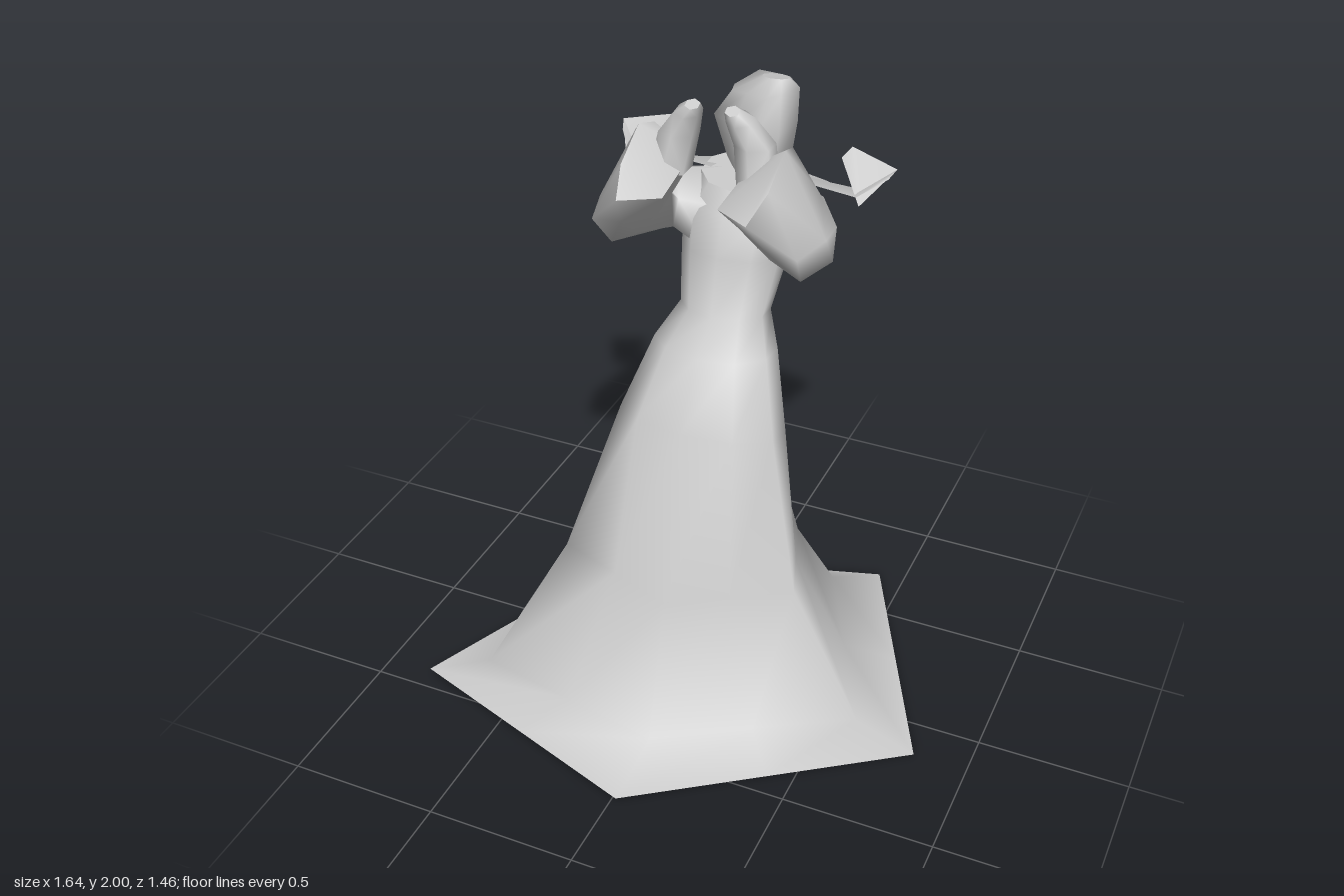
import * as THREE from 'three';

const material = new THREE.MeshStandardMaterial({ color: 0xcccccc, side: THREE.DoubleSide });

// Smooth skin over rows of [x, y, z] points; rows are rings unless closed is false.
function loft(name, rows, { capStart = false, capEnd = false, closed = true } = {}) {
  const n = rows[0].length, pos = rows.flat(2), index = [];
  for (let i = 0; i < rows.length - 1; i++)
    for (let j = 0; j < (closed ? n : n - 1); j++) {
      const a = i * n + j, b = i * n + (j + 1) % n;
      index.push(a, b, b + n, a, b + n, a + n);
    }
  const cap = (ring, flip) => {
    const start = pos.length / 3;
    pos.push(...ring.flat());
    for (let j = 1; j < n - 1; j++)
      index.push(start, start + (flip ? j + 1 : j), start + (flip ? j : j + 1));
  };
  if (capStart) cap(rows[0], true);
  if (capEnd) cap(rows[rows.length - 1], false);
  const geo = new THREE.BufferGeometry();
  geo.setAttribute('position', new THREE.Float32BufferAttribute(pos, 3));
  geo.setIndex(index);
  geo.computeVertexNormals();
  const mesh = new THREE.Mesh(geo, material);
  mesh.name = name;
  return mesh;
}

// Five corners become a ten point ring by adding the edge midpoints.
const withMidpoints = (ring) => ring.flatMap((p, i) => {
  const q = ring[(i + 1) % ring.length];
  return [p, p.map((v, k) => (v + q[k]) / 2)];
});

// Oval ring starting at the front; its back may sit at a different height.
function oval(n, x0, x1, zFront, zBack, yFront, yBack = yFront) {
  return Array.from({ length: n }, (_, i) => {
    const a = (i / n) * Math.PI * 2, c = Math.cos(a);
    return [(x0 + x1) / 2 + Math.sin(a) * (x1 - x0) / 2,
      (yFront + yBack) / 2 + c * (yFront - yBack) / 2,
      (zFront + zBack) / 2 + c * (zFront - zBack) / 2];
  });
}

function makeArm() {
  const arm = new THREE.Group();
  // Wide sleeve: shoulder, upper arm, elbow, bulge, closed cuff
  arm.add(loft('sleeve', [
    [[0.1, 1.5, -0.56], [0.07, 1.42, -0.44], [0.03, 1.46, -0.27],
      [0.03, 1.61, -0.31], [0.07, 1.67, -0.47], [0.1, 1.62, -0.58]],
    [[0.27, 1.54, -0.45], [0.2, 1.475, -0.38], [0.16, 1.53, -0.27],
      [0.15, 1.62, -0.29], [0.2, 1.67, -0.4], [0.27, 1.63, -0.47]],
    [[0.39, 1.54, -0.24], [0.32, 1.5, -0.15], [0.22, 1.56, -0.14],
      [0.16, 1.65, -0.26], [0.27, 1.67, -0.36], [0.36, 1.6, -0.35]],
    [[0.38, 1.63, -0.2], [0.34, 1.62, -0.06], [0.24, 1.63, -0.06],
      [0.12, 1.68, -0.1], [0.13, 1.71, -0.28], [0.31, 1.72, -0.32]],
    [[0.24, 1.9, -0.2], [0.24, 1.82, -0.07], [0.21, 1.75, 0.03],
      [0.09, 1.75, -0.04], [0.1, 1.79, -0.29], [0.23, 1.87, -0.29]],
  ], { capEnd: true }));
  // Forearm and hand rising out of the cuff
  arm.add(loft('hand', [
    oval(6, 0.08, 0.21, -0.15, -0.3, 1.76),
    oval(6, 0.06, 0.19, -0.18, -0.31, 1.88),
    oval(6, 0.04, 0.13, -0.18, -0.27, 1.95, 1.97),
    oval(6, 0.04, 0.09, -0.19, -0.23, 1.98, 2),
  ], { capEnd: true }));
  return arm;
}

function makeRibbon() {
  const ribbon = new THREE.Group();
  // Panel sloping down to the back, running out to a pointed tip
  ribbon.add(loft('ribbonPanel', [
    [[0.1, 1.68, -0.43], [0.1, 1.66, -0.53], [0.11, 1.63, -0.62]],
    [[0.2, 1.7, -0.41], [0.21, 1.66, -0.52], [0.22, 1.61, -0.62]],
    [[0.39, 1.67, -0.43], [0.35, 1.65, -0.53], [0.34, 1.58, -0.62]],
    [[0.46, 1.7, -0.53], [0.475, 1.72, -0.57], [0.45, 1.69, -0.58]],
  ], { closed: false }));
  // Fold standing up over the outer end
  ribbon.add(loft('ribbonFold', [
    [[0.4, 1.64, -0.43], [0.3, 1.74, -0.54]],
    [[0.475, 1.72, -0.57], [0.31, 1.75, -0.61]],
  ], { closed: false }));
  return ribbon;
}

export function createModel() {
  const model = new THREE.Group();
  model.name = 'dancer';

  // Open, five-cornered skirt flowing into a leaning, rounded torso
  const skirt = [
    [[0.02, 0.02, 0.73], [0.82, 0, 0.14], [0.41, 0.005, -0.7], [-0.49, 0.005, -0.43], [-0.82, 0.045, 0.46]],
    [[0.02, 0.06, 0.48], [0.61, 0.06, 0.12], [0.28, 0.06, -0.55], [-0.38, 0.07, -0.34], [-0.62, 0.1, 0.39]],
    [[0, 0.5, 0.31], [0.36, 0.49, 0.08], [0.27, 0.54, -0.18], [-0.21, 0.54, -0.18], [-0.38, 0.57, 0.24]],
  ].map(withMidpoints);
  model.add(loft('dress', [
    ...skirt,
    oval(10, -0.31, 0.25, 0.11, -0.25, 1.02, 0.92),
    oval(10, -0.25, 0.16, -0.05, -0.37, 1.2, 1.16),
    oval(10, -0.2, 0.1, -0.18, -0.42, 1.28, 1.26),
    oval(10, -0.22, 0.13, -0.21, -0.52, 1.48, 1.42),
    oval(10, -0.24, 0.14, -0.27, -0.61, 1.6, 1.58),
    oval(10, -0.2, 0.11, -0.33, -0.61, 1.66, 1.68),
  ], { capEnd: true }));

  // Mirrored arms and ribbons about the torso axis
  for (const [side, sign] of [['left', 1], ['right', -1]]) {
    for (const [part, make] of [['Arm', makeArm], ['Ribbon', makeRibbon]]) {
      const g = make();
      g.name = side + part;
      g.position.x = -0.06;
      g.scale.x = sign;
      model.add(g);
    }
  }

  // Head with hair swept back to a point
  model.add(loft('head', [
    oval(8, -0.09, 0.05, -0.42, -0.57, 1.62),
    [[0, 1.7, -0.36], [0.06, 1.7, -0.4], [0.08, 1.69, -0.5], [0.02, 1.68, -0.58],
      [-0.06, 1.67, -0.61], [-0.13, 1.69, -0.57], [-0.13, 1.7, -0.49], [-0.06, 1.7, -0.4]],
    [[0.01, 1.84, -0.36], [0.08, 1.84, -0.4], [0.1, 1.85, -0.51], [0.02, 1.86, -0.62],
      [-0.1, 1.87, -0.7], [-0.16, 1.85, -0.58], [-0.18, 1.83, -0.5], [-0.08, 1.84, -0.42]],
    [[0.03, 1.95, -0.42], [0.07, 1.96, -0.44], [0.1, 1.96, -0.52], [0, 1.93, -0.63],
      [-0.12, 1.9, -0.73], [-0.14, 1.91, -0.57], [-0.12, 1.92, -0.5], [-0.05, 1.94, -0.45]],
    oval(8, -0.02, 0.07, -0.46, -0.56, 2, 1.975),
  ], { capEnd: true }));
  return model;
}
